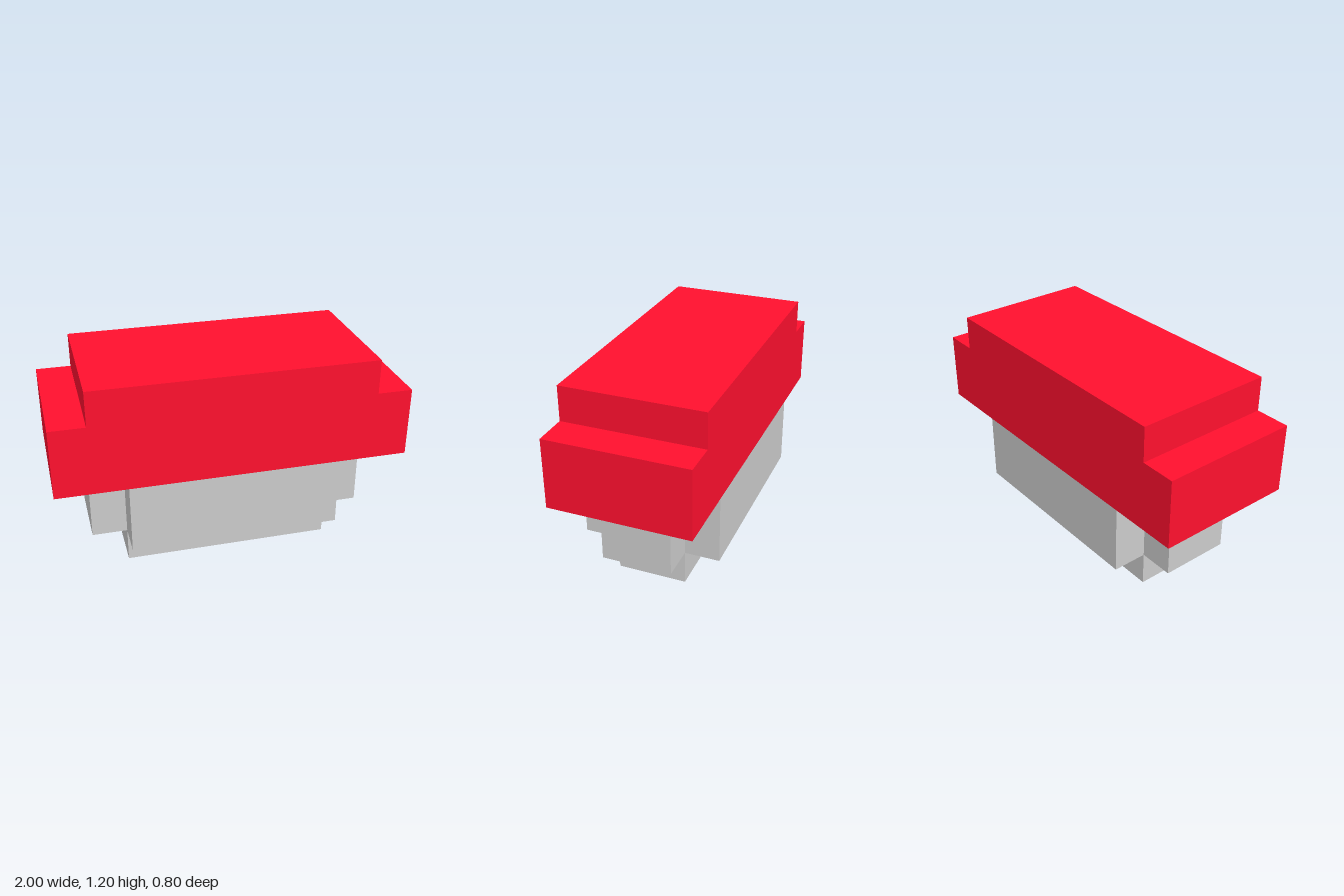
import * as THREE from 'three';

const grey = new THREE.MeshStandardMaterial({ color: 0xcccccc, flatShading: true });
const red = new THREE.MeshStandardMaterial({ color: 0xff102e, flatShading: true });

// Extrude a closed outline along z
function prism(points, depth) {
  const shape = new THREE.Shape(points.map(([x, y]) => new THREE.Vector2(x, y)));
  return new THREE.ExtrudeGeometry(shape, { depth, bevelEnabled: false });
}

function addPart(group, name, geometry, material) {
  const mesh = new THREE.Mesh(geometry, material);
  mesh.name = name;
  group.add(mesh);
}

export function createModel() {
  const group = new THREE.Group();
  group.name = 'steppedBlock';

  // Foot block
  addPart(group, 'foot', new THREE.BoxGeometry(1.2, 0.2, 0.4).translate(0, 0.1, 0), grey);

  // Body with a cross-shaped plan, notched at all four corners
  const cross = [
    [-0.8, -0.2], [-0.6, -0.2], [-0.6, -0.4], [0.6, -0.4], [0.6, -0.2], [0.8, -0.2],
    [0.8, 0.2], [0.6, 0.2], [0.6, 0.4], [-0.6, 0.4], [-0.6, 0.2], [-0.8, 0.2],
  ];
  addPart(group, 'body', prism(cross, 0.4).rotateX(-Math.PI / 2).translate(0, 0.2, 0), grey);

  // Cap with a step at each end
  const stepped = [
    [-1, 0.6], [1, 0.6], [1, 1], [0.8, 1], [0.8, 1.2], [-0.8, 1.2], [-0.8, 1], [-1, 1],
  ];
  addPart(group, 'cap', prism(stepped, 0.8).translate(0, 0, -0.4), red);

  return group;
}
